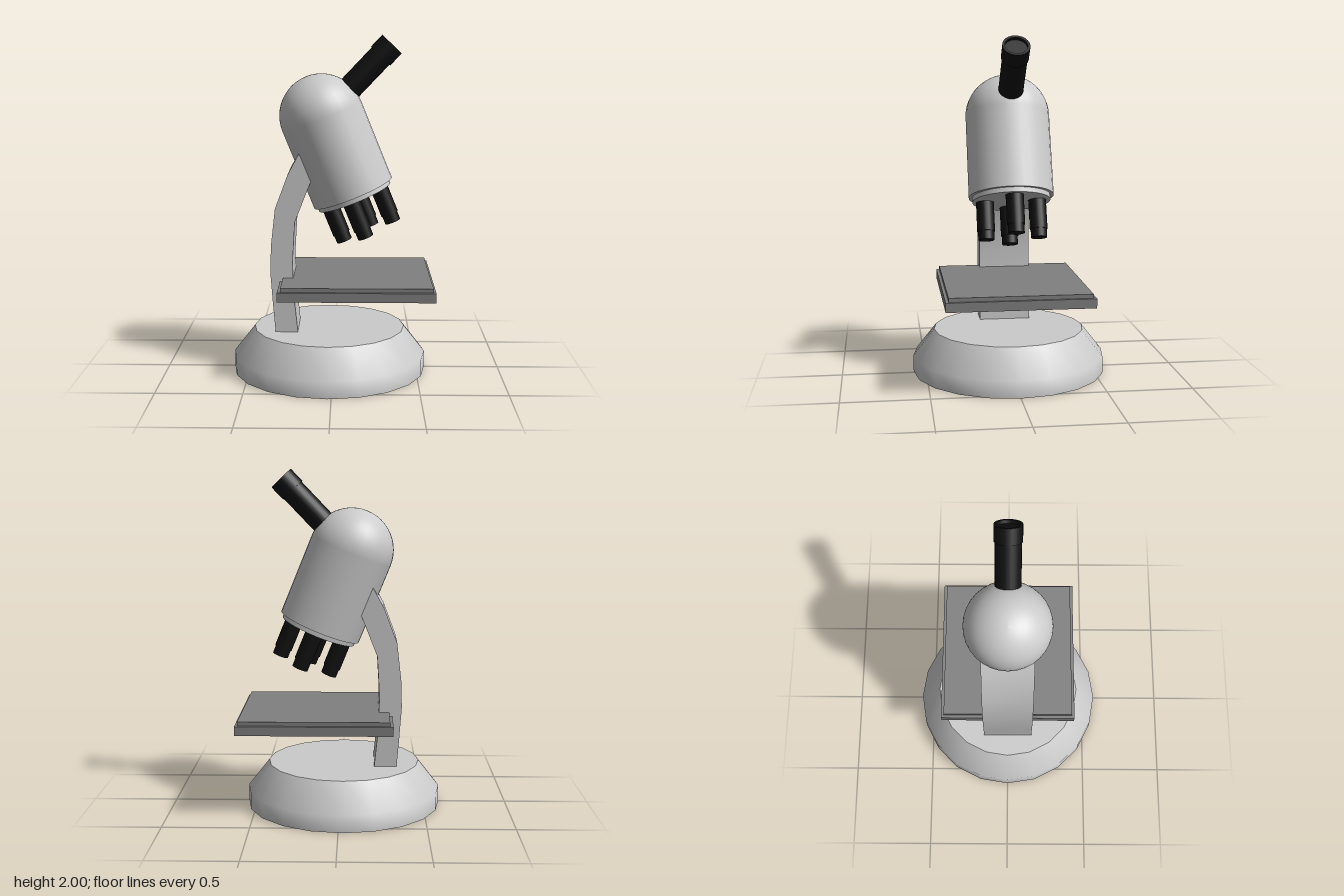
import * as THREE from 'three';
import { toCreasedNormals } from 'three/addons/utils/BufferGeometryUtils.js';

const grey = new THREE.MeshStandardMaterial({ color: 0xcccccc });
const stageGrey = new THREE.MeshStandardMaterial({ color: 0x808080 });
const black = new THREE.MeshStandardMaterial({ color: 0x111111 });

function add(parent, name, geometry, material, x = 0, y = 0, z = 0) {
  const mesh = new THREE.Mesh(geometry, material);
  mesh.name = name;
  mesh.position.set(x, y, z);
  parent.add(mesh);
  return mesh;
}

// Turned part from [radius, height] points; a repeated point makes a sharp edge.
function turned(points, segments) {
  return new THREE.LatheGeometry(points.map(([r, y]) => new THREE.Vector2(r, y)), segments);
}

export function createModel() {
  const model = new THREE.Group();
  model.name = 'microscope';

  // Round foot with a sloping shoulder
  add(model, 'base', turned([
    [0, 0], [0.575, 0], [0.575, 0], [0.575, 0.1], [0.45, 0.26], [0.45, 0.26], [0, 0.26],
  ], 20), grey, -0.022);

  // Curved arm, running from the base into the body
  const outline = [
    [-0.205, 0.2], [-0.205, 0.26], [-0.227, 0.48], [-0.234, 0.68], [-0.22, 0.92], [-0.13, 1.15], [-0.05, 1.25],
    [-0.12, 1.42], [-0.195, 1.32], [-0.26, 1.2], [-0.335, 1.0], [-0.36, 0.78], [-0.365, 0.62],
    [-0.352, 0.44], [-0.337, 0.26], [-0.337, 0.2],
  ];
  const armShape = new THREE.Shape(outline.map(([x, y]) => new THREE.Vector2(x, y)));
  const armGeometry = new THREE.ExtrudeGeometry(armShape, { depth: 0.306, bevelEnabled: false });
  add(model, 'arm', toCreasedNormals(armGeometry, 0.5), grey, 0, 0, -0.153);

  // Specimen stage with a raised top plate
  add(model, 'stage', new THREE.BoxGeometry(0.9, 0.054, 0.834), stageGrey, 0.14, 0.538, 0);
  add(model, 'stagePlate', new THREE.BoxGeometry(0.866, 0.03, 0.8), stageGrey, 0.142, 0.573, 0);

  // Tilted head, with its origin at the centre of the dome
  const head = new THREE.Group();
  head.name = 'head';
  head.position.set(-0.067, 1.527, 0);
  head.rotation.z = 0.387;
  model.add(head);

  const R = 0.248;
  const profile = [[0, -0.49], [R, -0.49], [R, -0.49]];
  for (let i = 0; i <= 12; i++) {
    const a = (i / 12) * Math.PI / 2;
    profile.push([i === 12 ? 0 : R * Math.cos(a), R * Math.sin(a)]);
  }
  add(head, 'body', turned(profile, 32), grey);
  add(head, 'nosepiece', new THREE.CylinderGeometry(0.228, 0.228, 0.06, 32), grey, 0, -0.488, 0);

  // Four objectives around the nosepiece, each with a narrower tip
  const objective = turned([
    [0, -0.225], [0.047, -0.225], [0.047, -0.225], [0.047, -0.175], [0.047, -0.175],
    [0.052, -0.175], [0.052, -0.175], [0.052, 0.02],
  ], 20);
  for (const [x, z] of [[-0.155, 0], [0.155, 0], [-0.02, 0.153], [0.02, -0.148]]) {
    add(head, 'objective', objective, black, x, -0.515, z);
  }

  // Eyepiece tube with a wider, recessed end
  const eyepiece = add(model, 'eyepiece', turned([
    [0, 0], [0.072, 0], [0.072, 0], [0.072, 0.36], [0.072, 0.36], [0.078, 0.36], [0.078, 0.36],
    [0.078, 0.455], [0.078, 0.455], [0.064, 0.455], [0.064, 0.455], [0.064, 0.435], [0.064, 0.435], [0, 0.435],
  ], 24), black, 0.027, 1.614, 0);
  eyepiece.rotation.z = -0.762;

  return model;
}
